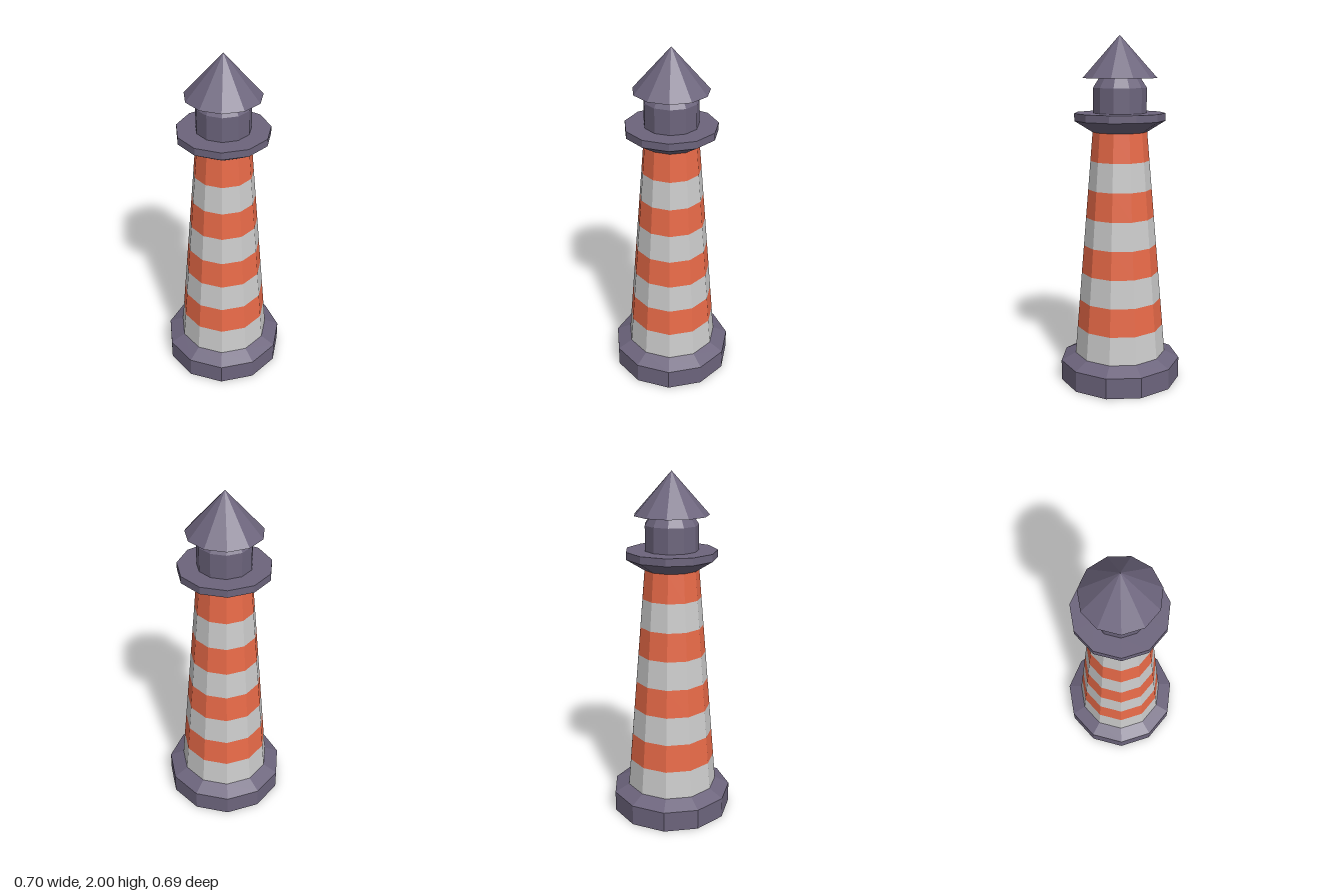
import * as THREE from 'three';

const SIDES = 11;
const slate = new THREE.MeshStandardMaterial({ color: 0x6c647c, flatShading: true });
const orange = new THREE.MeshStandardMaterial({ color: 0xe86a48, flatShading: true });
const pale = new THREE.MeshStandardMaterial({ color: 0xcccccc, flatShading: true });

// Eleven-sided turned part from [radius, height] pairs, bottom to top, one corner at the back
function turned(name, profile, material) {
  const points = profile.map(([r, y]) => new THREE.Vector2(r, y));
  const mesh = new THREE.Mesh(new THREE.LatheGeometry(points, SIDES, Math.PI), material);
  mesh.name = name;
  return mesh;
}

export function createModel() {
  const lighthouse = new THREE.Group();
  lighthouse.name = 'lighthouse';

  // Plinth with a sloped shoulder
  lighthouse.add(turned('base', [[0, 0], [0.352, 0], [0.352, 0.12], [0.267, 0.163], [0, 0.163]], slate));

  // Tapering tower of alternating bands
  const tower = new THREE.Group();
  tower.name = 'tower';
  const bands = 8, bottom = 0.163, top = 1.466;
  const ring = (i) => [
    THREE.MathUtils.lerp(0.267, 0.156, i / bands),
    THREE.MathUtils.lerp(bottom, top, i / bands),
  ];
  for (let i = 0; i < bands; i++) {
    tower.add(turned(`band${i + 1}`, [ring(i), ring(i + 1)], i % 2 ? orange : pale));
  }
  lighthouse.add(tower);

  // Gallery flaring out from the tower top
  lighthouse.add(turned('gallery', [[0, 1.466], [0.156, 1.466], [0.259, 1.53], [0.259, 1.572], [0.152, 1.572]], slate));

  // Lantern room narrowing under the roof
  lighthouse.add(turned('lanternRoom', [[0.152, 1.572], [0.152, 1.712], [0.118, 1.765]], slate));

  // Conical roof with a flat underside
  lighthouse.add(turned('roof', [[0, 1.765], [0.211, 1.765], [0, 2]], slate));

  // The odd number of sides puts the axis slightly forward of the middle
  for (const part of lighthouse.children) part.position.z = 0.007;
  return lighthouse;
}
